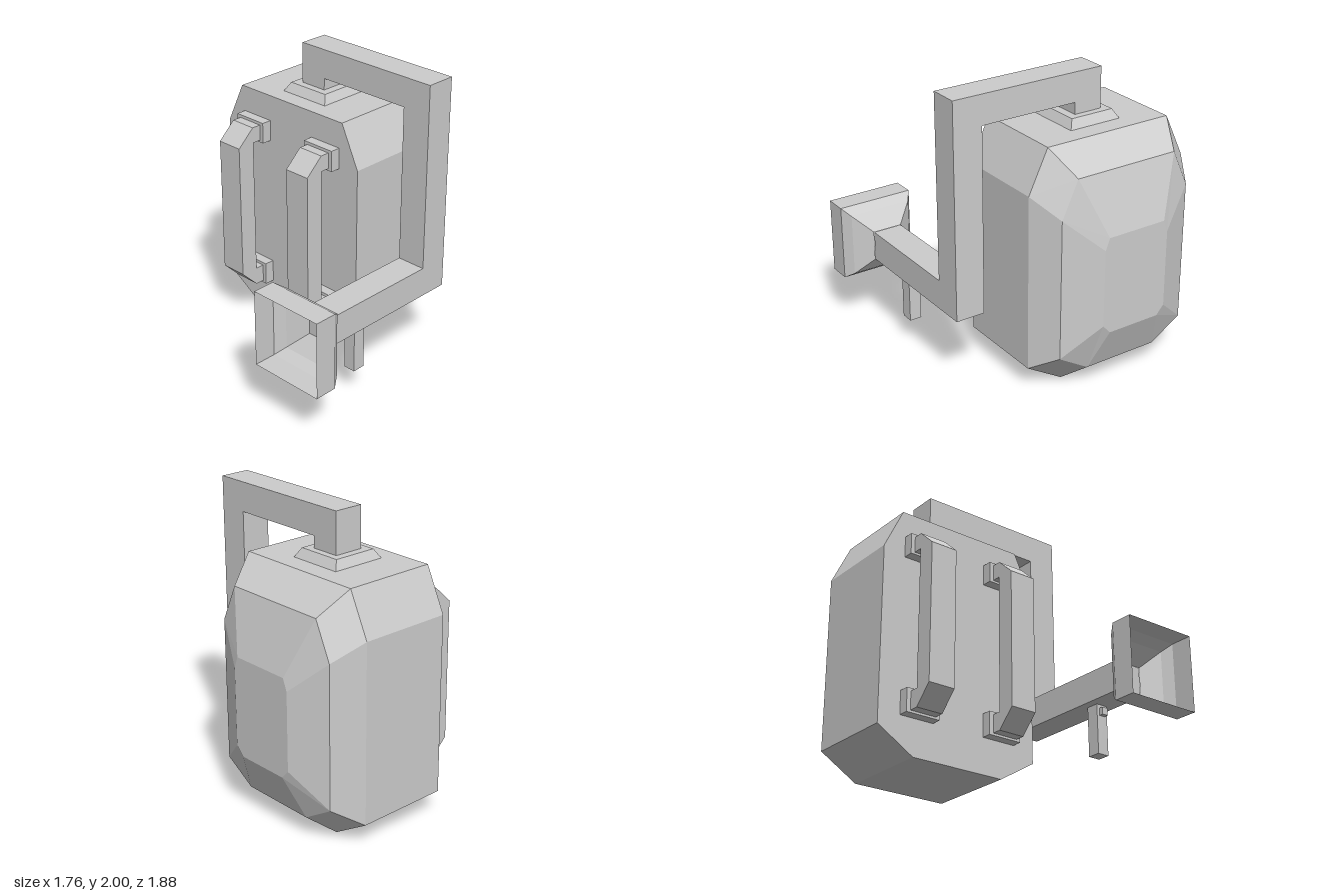
import * as THREE from 'three';

const grey = new THREE.MeshStandardMaterial({ color: 0xcccccc, flatShading: true });
const greyOpen = new THREE.MeshStandardMaterial({ color: 0xcccccc, flatShading: true, side: THREE.DoubleSide });

function add(parent, name, geometry, material = grey) {
  const mesh = new THREE.Mesh(geometry, material);
  mesh.name = name;
  parent.add(mesh);
  return mesh;
}

// Box given by its limits on each axis
function box(parent, name, [x0, x1], [y0, y1], [z0, z1]) {
  const mesh = add(parent, name, new THREE.BoxGeometry(x1 - x0, y1 - y0, z1 - z0));
  mesh.position.set((x0 + x1) / 2, (y0 + y1) / 2, (z0 + z1) / 2);
  return mesh;
}

// Faceted skin through sections ordered from front (+z) to back, each counter-clockwise
function loft(sections, capped) {
  const pos = [];
  const tri = (a, b, c) => pos.push(...a, ...b, ...c);
  const n = sections[0].length;
  for (let s = 0; s < sections.length - 1; s++) {
    for (let i = 0; i < n; i++) {
      const j = (i + 1) % n;
      const [a, b, c, d] = [sections[s][i], sections[s][j], sections[s + 1][j], sections[s + 1][i]];
      tri(a, d, c);
      tri(a, c, b);
    }
  }
  if (capped) {
    const first = sections[0], last = sections[sections.length - 1];
    for (let i = 1; i < n - 1; i++) {
      tri(first[0], first[i], first[i + 1]);
      tri(last[0], last[i + 1], last[i]);
    }
  }
  const geometry = new THREE.BufferGeometry();
  geometry.setAttribute('position', new THREE.Float32BufferAttribute(pos, 3));
  geometry.computeVertexNormals();
  return geometry;
}

// Octagon symmetric about x = cx: half widths at bottom, sides and top; four heights
function octagon(cx, z, wBottom, wSide, wTop, y0, y1, y2, y3) {
  return [
    [cx + wBottom, y0, z], [cx + wSide, y1, z], [cx + wSide, y2, z], [cx + wTop, y3, z],
    [cx - wTop, y3, z], [cx - wSide, y2, z], [cx - wSide, y1, z], [cx - wBottom, y0, z],
  ];
}

const rect = (hx, hy, z) => [[hx, -hy, z], [hx, hy, z], [-hx, hy, z], [-hx, -hy, z]];
const polygon = (points) => new THREE.Shape(points.map(([x, y]) => new THREE.Vector2(x, y)));

export function createModel() {
  const model = new THREE.Group();
  model.name = 'backpackSprayer';

  // Tank: chamfered flat front, faceted bulging back
  const cx = -0.278;
  add(model, 'tank', loft([
    octagon(cx, 0.01, 0.34, 0.603, 0.465, 0, 0.16, 1.37, 1.66),
    octagon(cx, -0.63, 0.34, 0.603, 0.465, 0, 0.16, 1.37, 1.66),
    octagon(cx, -0.82, 0.27, 0.49, 0.375, 0.15, 0.285, 1.25, 1.5),
    octagon(cx, -0.94, 0.19, 0.245, 0.215, 0.44, 0.5, 1.03, 1.11),
  ], true));

  // Tapered collar where the hose leaves the tank
  const collar = add(model, 'hoseCollar', loft([rect(0.157, 0.153, 0.06), rect(0.19, 0.19, 0)], true));
  collar.rotation.x = -Math.PI / 2;
  collar.position.set(-0.278, 1.66, -0.305);

  // Square hose: up, across and down in one plane, then forward
  const hose = new THREE.Group();
  hose.name = 'hose';
  model.add(hose);
  const hoop = add(hose, 'hoseHoop', new THREE.ExtrudeGeometry(polygon([
    [-0.38, 1.7], [-0.18, 1.7], [-0.18, 1.8], [0.51, 1.8],
    [0.51, 0.525], [0.715, 0.525], [0.715, 2], [-0.38, 2],
  ]), { depth: 0.205, bevelEnabled: false }));
  hoop.position.z = -0.41;
  box(hose, 'barrel', [0.51, 0.715], [0.525, 0.73], [-0.205, 0.63]);

  // Open square nozzle flaring from the barrel
  const nozzle = add(model, 'nozzle', loft([
    rect(0.265, 0.263, 0.94), rect(0.265, 0.263, 0.785),
    rect(0.22, 0.218, 0.72), rect(0.103, 0.103, 0.63),
  ], false), greyOpen);
  nozzle.position.set(0.614, 0.628, 0);

  // Grip and trigger under the barrel
  box(model, 'grip', [0.57, 0.655], [0.185, 0.53], [0.285, 0.375]);
  box(model, 'trigger', [0.59, 0.635], [0.45, 0.5], [0.37, 0.405]);

  // Shoulder straps with a mounting pad at each end
  const strapShape = polygon([
    [0.07, 0.265], [0.145, 0.265], [0.27, 0.39], [0.27, 1.345], [0.145, 1.46],
    [0.07, 1.46], [0.07, 1.35], [0.142, 1.35], [0.142, 0.39], [0.07, 0.39],
  ]);
  for (const [side, x] of [['right', -0.597], ['left', 0.04]]) {
    const strap = add(model, side + 'Strap',
      new THREE.ExtrudeGeometry(strapShape, { depth: 0.19, bevelEnabled: false }));
    strap.rotation.y = -Math.PI / 2;
    strap.position.x = x + 0.095;
    box(model, side + 'UpperPad', [x - 0.124, x + 0.124], [1.335, 1.48], [0, 0.08]);
    box(model, side + 'LowerPad', [x - 0.124, x + 0.124], [0.25, 0.41], [0, 0.08]);
  }

  return model;
}
